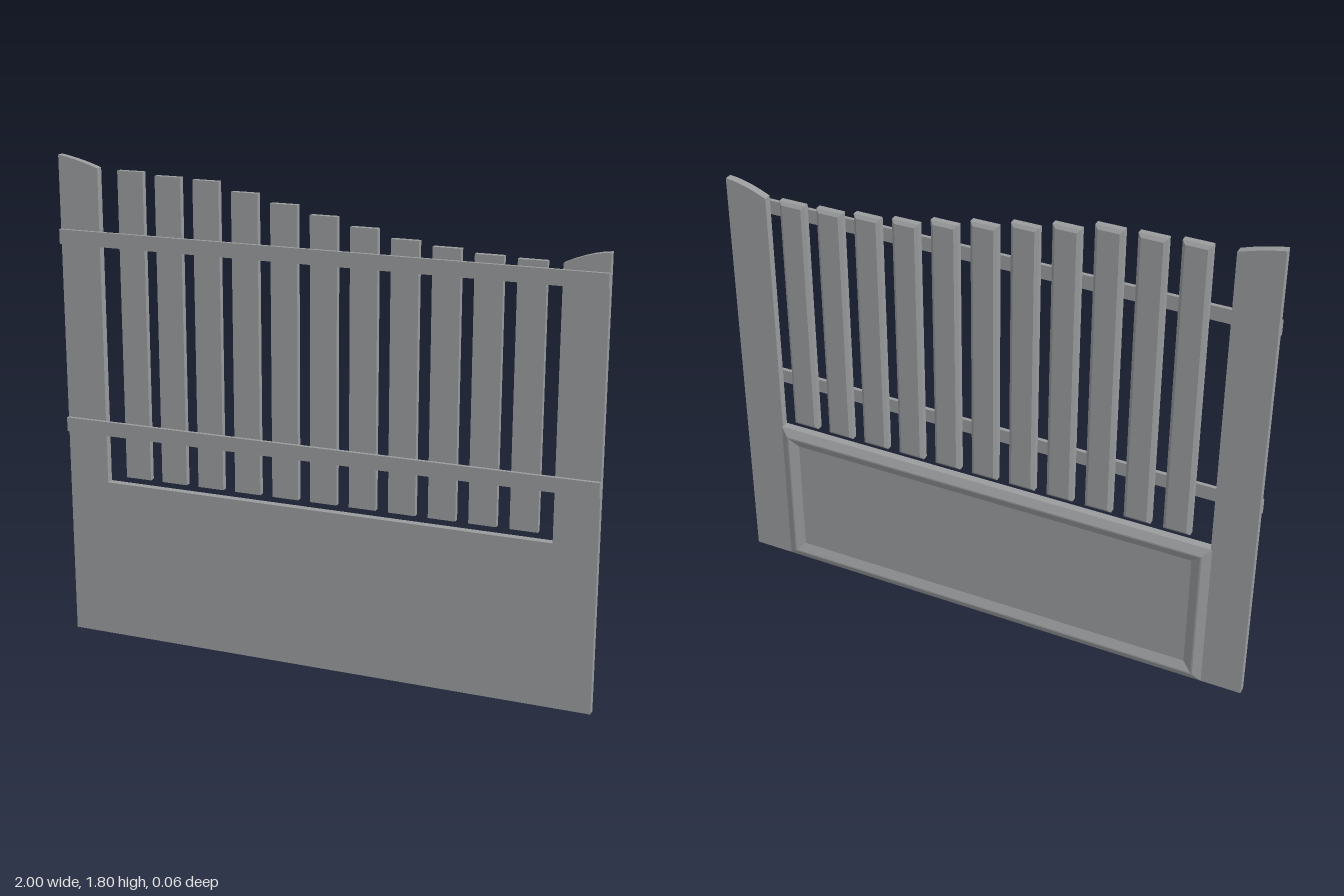
import * as THREE from 'three';

const BACK = -0.013, FRONT = 0.016;

// Board whose rear edges are chamfered on all four sides
function chamferedBoard(w, h, d, c, depth) {
  const g = new THREE.BoxGeometry(w, h, d, 1, 1, 2);
  const p = g.attributes.position;
  for (let i = 0; i < p.count; i++) {
    const z = p.getZ(i);
    if (Math.abs(z) < 1e-5) p.setZ(i, -d / 2 + depth);
    else if (z < 0) {
      p.setX(i, p.getX(i) - Math.sign(p.getX(i)) * c);
      p.setY(i, p.getY(i) - Math.sign(p.getY(i)) * c);
    }
  }
  g.computeVertexNormals();
  return g;
}

// Rectangular moulding on the rear, lofted through inset rectangles
function mouldingGeometry(halfW, h, profile) {
  const rings = profile.map(([inset, z]) => [
    [-halfW + inset, inset, z], [halfW - inset, inset, z],
    [halfW - inset, h - inset, z], [-halfW + inset, h - inset, z],
  ]);
  const pos = [];
  for (let r = 0; r < rings.length - 1; r++) {
    const a = rings[r], b = rings[r + 1];
    for (let i = 0; i < 4; i++) {
      const j = (i + 1) % 4;
      pos.push(...a[i], ...b[i], ...b[j], ...a[i], ...b[j], ...a[j]);
    }
  }
  const g = new THREE.BufferGeometry();
  g.setAttribute('position', new THREE.Float32BufferAttribute(pos, 3));
  g.computeVertexNormals();
  return g;
}

export function createModel() {
  const group = new THREE.Group();
  const grey = new THREE.MeshStandardMaterial({ color: 0x999b9d, flatShading: true });
  grey.name = 'grey';
  const add = (name, geometry, x = 0, y = 0, z = 0) => {
    const m = new THREE.Mesh(geometry, grey);
    m.name = name;
    m.position.set(x, y, z);
    group.add(m);
  };

  // Solid lower panel with a post on each side, cut from one board
  const s = new THREE.Shape();
  s.moveTo(-1, 0);
  s.lineTo(1, 0);
  s.lineTo(1, 1.6);
  s.quadraticCurveTo(0.93, 1.595, 0.845, 1.555);
  s.lineTo(0.845, 0.6);
  s.lineTo(-0.845, 0.6);
  s.lineTo(-0.845, 1.76);
  s.quadraticCurveTo(-0.92, 1.787, -1, 1.8);
  s.closePath();
  add('panelAndPosts', new THREE.ExtrudeGeometry(s, {
    depth: FRONT - BACK, bevelEnabled: false, curveSegments: 5,
  }), 0, 0, BACK);

  // Raised moulding around the rear of the lower panel
  add('rearMoulding', mouldingGeometry(0.85, 0.6,
    [[0, BACK], [0.03, -0.029], [0.036, -0.029], [0.07, BACK - 0.001]]));

  // Pickets, stepping down from the tall post to the short one
  const tops = [1.757, 1.747, 1.742, 1.71, 1.68, 1.65, 1.62, 1.59, 1.575, 1.562, 1.557];
  const bottom = 0.63;
  tops.forEach((top, i) => {
    const h = top - bottom;
    add('picket' + (i + 1), chamferedBoard(0.099, h, 0.031, 0.012, 0.009),
      -0.716 + i * 0.1459, bottom + h / 2, 0.0005);
  });

  // Horizontal rails across the front
  for (const [name, y] of [['lowerRail', 0.81], ['upperRail', 1.509]]) {
    add(name, new THREE.BoxGeometry(2, 0.053, 0.014), 0, y, 0.023);
  }
  return group;
}
